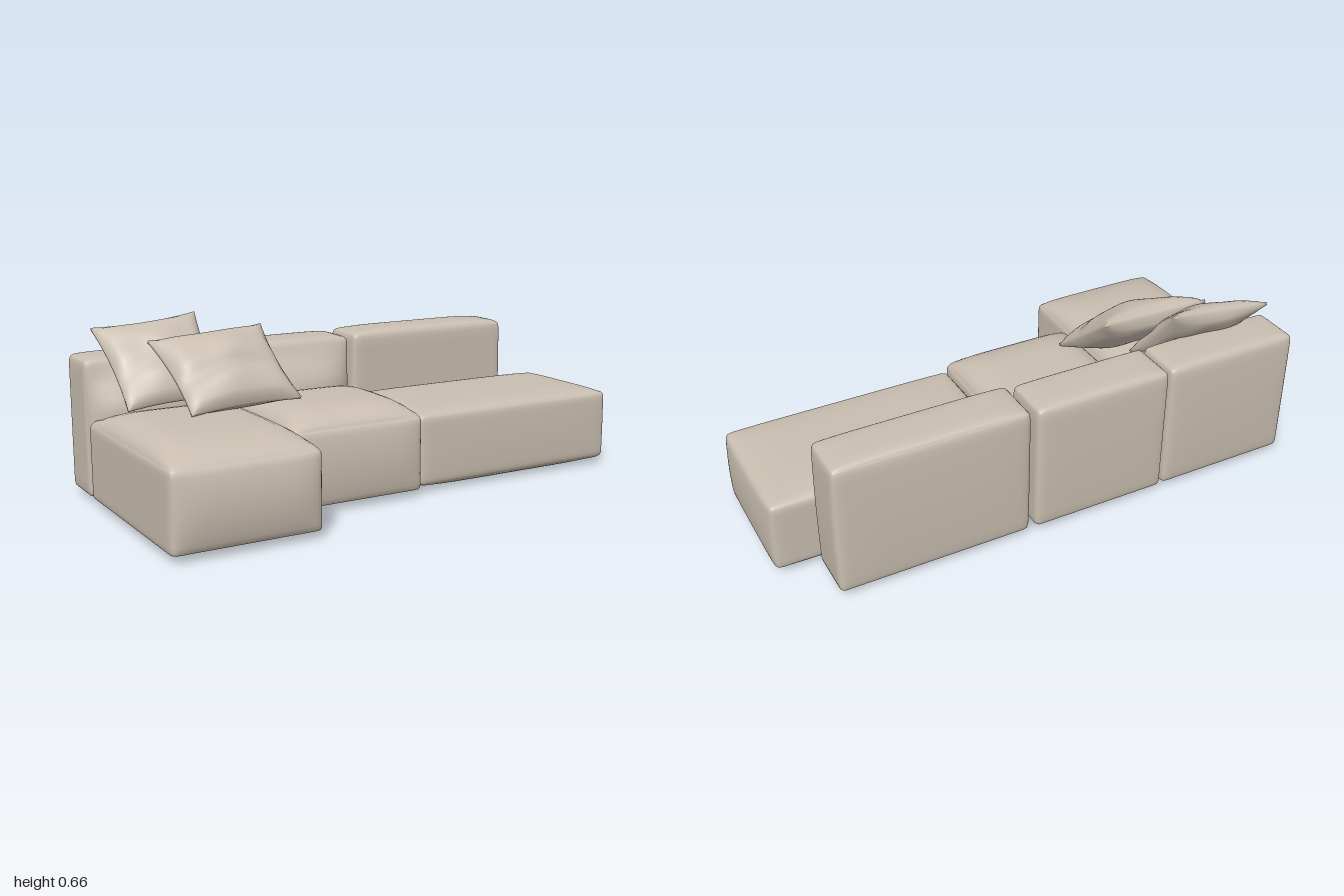
import * as THREE from 'three';
import { mergeVertices } from 'three/addons/utils/BufferGeometryUtils.js';

const fabric = new THREE.MeshStandardMaterial({ color: 0xc9beb0, side: THREE.DoubleSide });
fabric.name = 'beige fabric';

// Segmented box with merged corners, for smooth upholstery
function boxGrid(w, h, d, nx, ny, nz, open) {
  const g = new THREE.BoxGeometry(w, h, d, nx, ny, nz);
  if (open) { // drop the underside
    const { start, count } = g.groups[3];
    const idx = Array.from(g.index.array);
    idx.splice(start, count);
    g.setIndex(idx);
  }
  g.clearGroups();
  g.deleteAttribute('uv');
  g.deleteAttribute('normal');
  return mergeVertices(g, 1e-5);
}

function warp(g, rule) {
  const pos = g.attributes.position, p = new THREE.Vector3();
  for (let i = 0; i < pos.count; i++) {
    rule(p.fromBufferAttribute(pos, i));
    pos.setXYZ(i, p.x, p.y, p.z);
  }
  g.computeVertexNormals();
  return g;
}

const crowd = t => Math.sign(t) * (1 - (1 - Math.abs(t)) ** 1.8); // more rows near the edges

// Rounded, padded block; ranges are [min, max] on each axis
function softBlock(name, x, y, z, o) {
  const { r = 0.022, crown = 0, sag = 0, side = 0, front = 0, back = 0, lumbar = 0, open = false } = o;
  const mid = [x, y, z].map(a => (a[0] + a[1]) / 2);
  const half = [x, y, z].map(a => (a[1] - a[0]) / 2);
  const g = warp(boxGrid(2, 2, 2, 20, 14, 20, open), p => {
    const n = p.toArray().map(crowd);
    const [u, v, w] = n;
    // round the edges
    const a = n.map((t, i) => t * half[i]);
    const q = a.map((t, i) => THREE.MathUtils.clamp(t, r - half[i], half[i] - r));
    const d = a.map((t, i) => t - q[i]);
    const len = Math.hypot(...d), big = Math.max(...d.map(Math.abs));
    if (len > 1e-9) d.forEach((t, i) => { a[i] = q[i] + t * big / len; });
    // padded top, sagging bottom, bulging sides
    const pad = (1 - u ** 6) * (1 - w ** 4);
    if (v > 0) a[1] += crown * pad * v ** 3;
    else a[1] -= sag * pad * v * v;
    a[0] += side * u ** 3 * (1 - v * v) * (1 - w ** 4);
    a[2] += (w > 0 ? front : -back) * w * w * (1 - v * v) * (1 - u ** 6);
    p.set(a[0] + mid[0], a[1] + mid[1], a[2] + mid[2]);
    // back cushion swelling forward just above the seat
    if (w > 0 && lumbar) {
      const s = THREE.MathUtils.smoothstep;
      p.z += lumbar * w ** 3 * (1 - u ** 4) * s(p.y, 0.18, 0.3) * (1 - s(p.y, 0.33, 0.52));
    }
  });
  const m = new THREE.Mesh(g, fabric);
  m.name = name;
  return m;
}

// Pillow stretched between four corners (top left, top right, bottom left, bottom right)
function pillow(name, corners, thick, fold) {
  const [tl, tr, bl, br] = corners.map(c => new THREE.Vector3(...c));
  const normal = tr.clone().sub(tl).cross(tl.clone().sub(bl)).normalize();
  const low = new THREE.Vector3(), high = new THREE.Vector3();
  const g = warp(boxGrid(2, 2, 2, 22, 22, 1, false), p => {
    const { x: u, y: v, z: s } = p;
    const pu = u * (1 - 0.07 * (1 - v * v)), pv = v * (1 - 0.07 * (1 - u * u));
    low.lerpVectors(bl, br, (pu + 1) / 2);
    high.lerpVectors(tl, tr, (pu + 1) / 2);
    const dome = Math.pow(Math.max(0, (1 - u * u) * (1 - v * v)), 0.5);
    const crease = s > 0 ? fold * Math.exp(-(((v + 0.15 + 0.2 * u * u) / 0.2) ** 2)) * dome : 0;
    const ripple = 0.006 * Math.sin(5 * u + 2 * v) * Math.sin(4 * v - u) * dome;
    p.lerpVectors(low, high, (pv + 1) / 2);
    p.addScaledVector(normal, s * (0.006 + thick * dome - crease) + ripple);
  });
  const m = new THREE.Mesh(g, fabric);
  m.name = name;
  return m;
}

export function createModel() {
  const sofa = new THREE.Group();
  sofa.name = 'sectionalSofa';

  // Seats
  sofa.add(
    softBlock('chaiseSeat', [-0.995, -0.458], [0.02, 0.305], [-0.285, 0.475],
      { crown: 0.06, front: 0.025, open: true }),
    softBlock('middleSeat', [-0.45, 0.085], [0.02, 0.305], [-0.285, 0.235],
      { crown: 0.06, front: 0.018, open: true }),
    softBlock('wideSeat', [0.095, 0.98], [0.025, 0.295], [-0.29, 0.205],
      { crown: 0.018, sag: 0.025, side: 0.015, front: 0.005 }),
  );

  // Backrests
  sofa.add(
    softBlock('leftBackrest', [-0.995, -0.458], [0.02, 0.52], [-0.492, -0.3],
      { crown: 0.01, back: 0.008, lumbar: 0.075 }),
    softBlock('middleBackrest', [-0.45, 0.082], [0.02, 0.52], [-0.495, -0.3],
      { crown: 0.01, back: 0.006, lumbar: 0.075 }),
    softBlock('wideBackrest', [0.105, 0.825], [0.02, 0.527], [-0.493, -0.297],
      { crown: 0.014, side: 0.006, back: 0.008 }),
  );

  // Loose pillows leaning in the chaise corner
  sofa.add(
    pillow('frontPillow', [[-0.785, 0.585, -0.22], [-0.335, 0.61, -0.24],
      [-0.75, 0.37, 0.08], [-0.315, 0.38, 0.045]], 0.07, 0.02),
    pillow('rearPillow', [[-0.935, 0.62, -0.39], [-0.545, 0.655, -0.365],
      [-0.91, 0.37, -0.1], [-0.53, 0.38, -0.12]], 0.055, 0.012),
  );
  return sofa;
}
